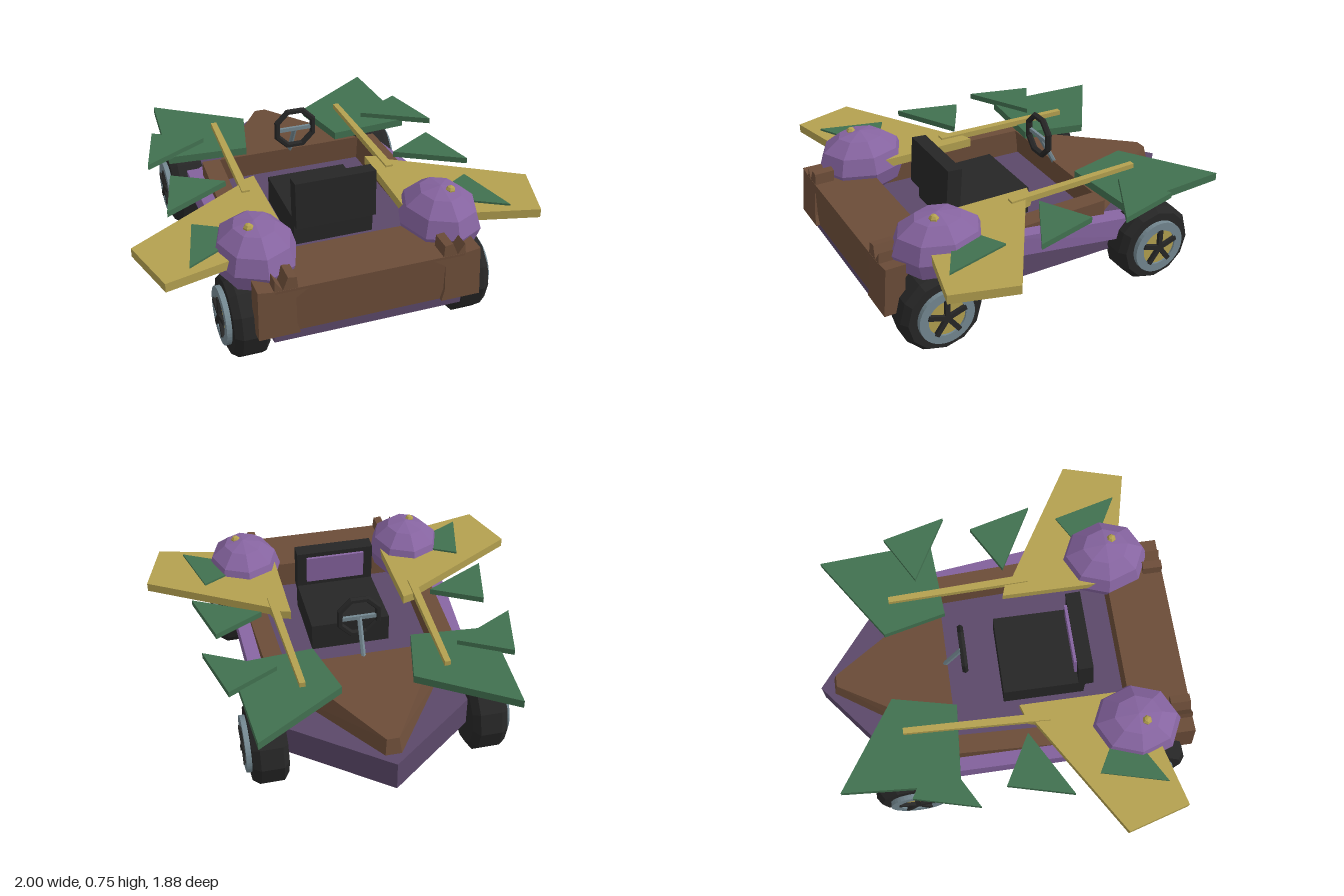
import * as THREE from 'three';
import { ConvexGeometry } from 'three/addons/geometries/ConvexGeometry.js';

const mat = (name, color) => Object.assign(new THREE.MeshStandardMaterial({ color }), { name });

export function createModel() {
  const darkPurple = mat('dark purple', 0x5b4869), purple = mat('purple', 0x8664a0);
  const brown = mat('brown', 0x6b4c38), green = mat('green', 0x41704f);
  const yellow = mat('yellow', 0xb3a04f), black = mat('black', 0x262626), grey = mat('grey', 0x748891);
  const model = new THREE.Group();
  model.name = 'kart';

  const add = (name, geometry, material, parent = model) => {
    const mesh = new THREE.Mesh(geometry, material);
    mesh.name = name;
    parent.add(mesh);
    return mesh;
  };
  // Faceted normals
  const facet = (g) => {
    const f = g.index ? g.toNonIndexed() : g;
    f.computeVertexNormals();
    return f;
  };
  const hull = (pts) => new ConvexGeometry(pts.map((p) => new THREE.Vector3(...p)));
  const extrude = (pts, depth) => new THREE.ExtrudeGeometry(
    new THREE.Shape(pts.map((p) => new THREE.Vector2(...p))), { depth, bevelEnabled: false });
  // Horizontal plate from an outline in x and z
  const plate = (pts, y0, y1, side = 1) => extrude(pts.map(([x, z]) => [x * side, -z]), y1 - y0)
    .rotateX(-Math.PI / 2).translate(0, y0, 0);
  const box = (w, h, d, x, y, z) => new THREE.BoxGeometry(w, h, d).translate(x, y, z);
  // Straight bar between two points
  const bar = (a, b, r, sides) => {
    const p = new THREE.Vector3(...a), q = new THREE.Vector3(...b), d = q.clone().sub(p);
    const g = new THREE.CylinderGeometry(r, r, d.length(), sides);
    g.applyQuaternion(new THREE.Quaternion().setFromUnitVectors(new THREE.Vector3(0, 1, 0), d.normalize()));
    return facet(g.translate(...p.add(q).multiplyScalar(0.5).toArray()));
  };

  // Floor pan with pointed nose
  add('floorPan', plate([[0, -0.94], [0.5, -0.54], [0.5, 0.3], [0.46, 0.91],
    [-0.46, 0.91], [-0.5, 0.3], [-0.5, -0.54]], 0.18, 0.33), darkPurple);

  // Tapered hood
  const hood = [];
  for (const s of [-1, 1]) {
    hood.push([s * 0.03, 0.41, -0.85], [s * 0.04, 0.325, -0.87],
      [s * 0.39, 0.465, -0.27], [s * 0.43, 0.325, -0.285]);
  }
  add('hood', hull(hood), brown);

  // End panel
  add('endPanel', box(0.91, 0.235, 0.3, 0, 0.3525, 0.77), brown);

  // Seat
  add('seatCushion', box(0.41, 0.15, 0.42, 0, 0.4, 0.205), black);
  const seatBack = new THREE.Group();
  seatBack.name = 'seatBack';
  seatBack.position.set(0, 0.45, 0.42);
  seatBack.rotation.x = -0.08;
  add('backrest', box(0.41, 0.24, 0.075, 0, 0.115, 0), black, seatBack);
  add('backPad', box(0.31, 0.15, 0.02, 0, 0.135, -0.042), purple, seatBack);
  model.add(seatBack);

  // Steering
  add('steeringRing', facet(new THREE.TorusGeometry(0.105, 0.017, 6, 8)
    .rotateZ(Math.PI / 8).translate(0, 0.635, -0.185)), black);
  add('steeringColumn', bar([0, 0.63, -0.19], [0, 0.44, -0.29], 0.013, 6), grey);
  add('steeringSpoke', box(0.2, 0.02, 0.015, 0, 0.63, -0.187), grey);

  for (const s of [-1, 1]) {
    const side = new THREE.Group();
    side.name = s > 0 ? 'leftSide' : 'rightSide';
    model.add(side);

    // Cockpit rail
    const rail = [];
    for (const [z, inner, outer, top] of [[-0.28, 0.39, 0.485, 0.465], [0.75, 0.43, 0.53, 0.475]]) {
      for (const x of [inner, outer]) rail.push([s * x, 0.325, z], [s * x, top, z]);
    }
    add('cockpitRail', hull(rail), brown, side);

    // Sloping side pod
    const pod = [];
    for (const [z, y, outer] of [[0.62, 0.42, 0.585], [0.62, 0.5, 0.585], [0.32, 0.48, 0.58],
      [-0.4, 0.365, 0.55], [-0.4, 0.25, 0.55]]) {
      pod.push([s * 0.46, y, z], [s * outer, y, z]);
    }
    add('sidePod', hull(pod), purple, side);

    // Notched corner bracket, leaning back towards its top
    const bracket = extrude([[0.54, 0.235], [0.535, 0.48], [0.46, 0.47], [0.455, 0.52], [0.42, 0.47],
      [0.395, 0.53], [0.355, 0.525], [0.35, 0.47], [0.29, 0.465], [0.36, 0.42], [0.36, 0.29],
      [0.345, 0.235]].map(([x, y]) => [s * x, y]), 0.1);
    const p = bracket.attributes.position;
    for (let i = 0; i < p.count; i++) p.setZ(i, p.getZ(i) + 0.84 - 0.09 * (p.getY(i) - 0.235));
    add('cornerBracket', facet(bracket), brown, side);

    // Dome with a stud
    add('dome', facet(new THREE.SphereGeometry(1, 8, 6).scale(0.2, 0.17, 0.235)
      .translate(s * 0.46, 0.49, 0.62)), purple, side);
    add('domeStud', facet(new THREE.SphereGeometry(0.025, 6, 5)
      .translate(s * 0.495, 0.645, 0.655)), yellow, side);

    // Wing, rod and leaf-like fins
    add('wing', plate([[1, 0.49], [0.4, 0.125], [0.39, 0.09], [0.3, 0.06], [0.3, 0.65], [0.91, 0.8]],
      0.495, 0.54, s), yellow, side);
    add('rod', plate([[0.34, -0.53], [0.37, -0.53], [0.4, 0.2], [0.36, 0.2]], 0.52, 0.55, s), yellow, side);
    add('largeFin', plate([[0.62, -0.865], [0.175, -0.57], [0.25, -0.25], [0.66, -0.28]],
      0.485, 0.525, s), green, side);
    for (const z of [-0.52, -0.06, 0.4]) {
      add('smallFin', plate([[0.7, z], [0.45, z + 0.14], [0.785, z + 0.325]], 0.52, 0.55, s), green, side);
    }

    // Wheels: tyre, rim, hub and five spokes, axle along local +y
    for (const z of [-0.51, 0.68]) {
      const wheel = new THREE.Group();
      wheel.name = z < 0 ? 'noseWheel' : 'tailWheel';
      wheel.position.set(s * 0.54, 0.21, z);
      wheel.rotation.z = -s * Math.PI / 2;
      const profile = [[0, -0.085], [0.17, -0.085], [0.21, -0.055], [0.21, 0.055], [0.185, 0.09], [0, 0.09]];
      add('tyre', facet(new THREE.LatheGeometry(profile.map((q) => new THREE.Vector2(...q)), 12)
        .rotateY(Math.PI / 2)), black, wheel);
      const rimShape = new THREE.Shape().absarc(0, 0, 0.14, 0, Math.PI * 2);
      rimShape.holes.push(new THREE.Path().absarc(0, 0, 0.095, 0, Math.PI * 2));
      add('rim', new THREE.ExtrudeGeometry(rimShape, { depth: 0.04, bevelEnabled: false, curveSegments: 20 })
        .rotateX(-Math.PI / 2).translate(0, 0.075, 0), grey, wheel);
      add('hub', new THREE.CylinderGeometry(0.098, 0.098, 0.03, 20).translate(0, 0.09, 0), yellow, wheel);
      for (let i = 0; i < 5; i++) {
        // Local -x (left) or +x (right) points up once mounted
        const a = (i * Math.PI * 2) / 5 + (s > 0 ? Math.PI : 0);
        add('spoke', box(0.1, 0.025, 0.024, 0.05, 0.11, 0).rotateY(a), black, wheel);
      }
      model.add(wheel);
    }
  }
  return model;
}
